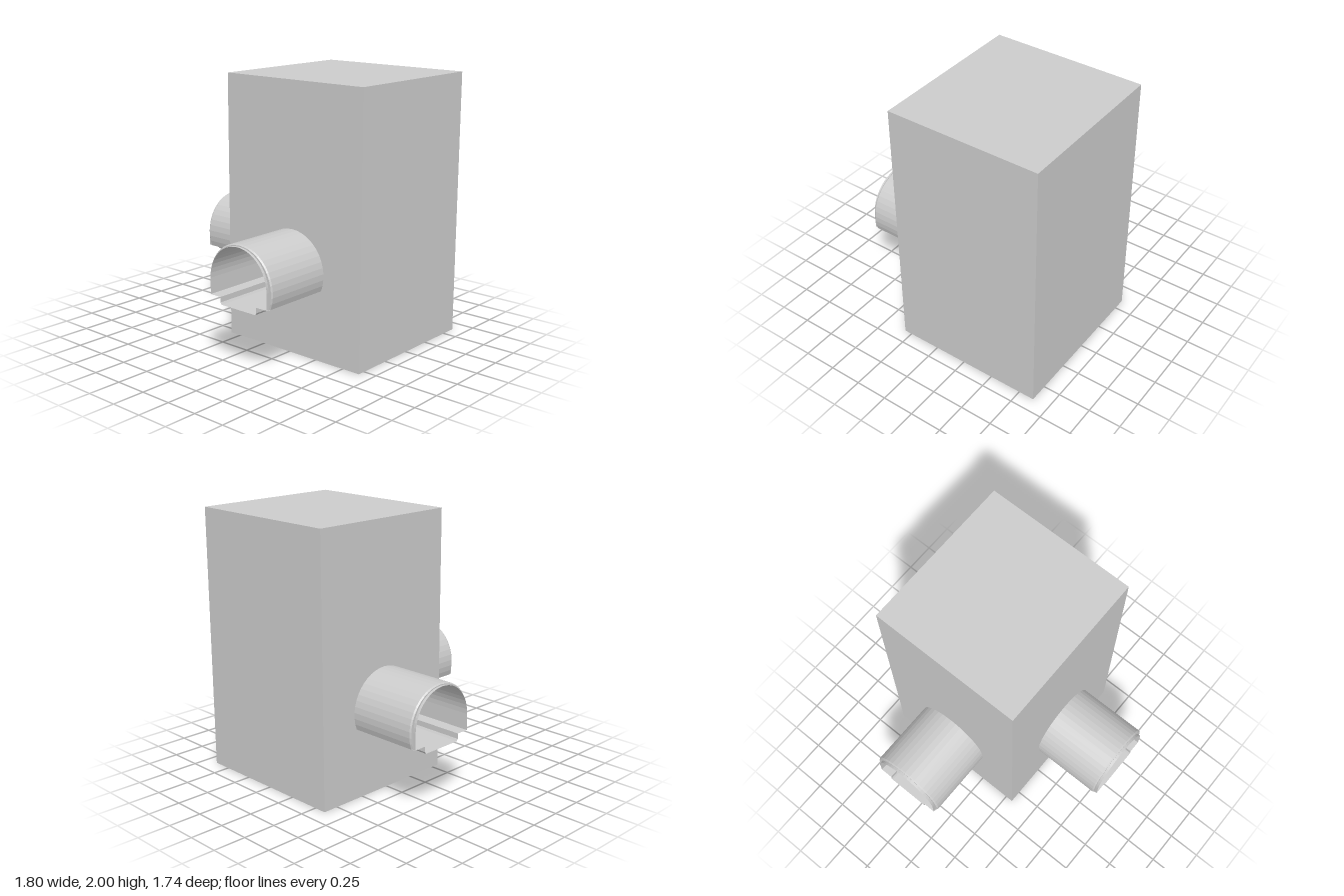
import * as THREE from 'three';

const HALF_W = 0.62, HALF_D = 0.59, HEIGHT = 2;
const LEDGE_Y = 0.53, CHANNEL_Y = 0.475, AXIS_Y = 0.64, SEGMENTS = 26;

const material = new THREE.MeshStandardMaterial({
  color: 0xcccccc, flatShading: true, side: THREE.DoubleSide,
});

// Circular arch that stops at the ledge height
function outerArch(radius) {
  const start = Math.asin((LEDGE_Y - AXIS_Y) / radius);
  const points = [];
  for (let i = 0; i <= SEGMENTS; i++) {
    const a = start + (Math.PI - 2 * start) * i / SEGMENTS;
    points.push([radius * Math.cos(a), AXIS_Y + radius * Math.sin(a)]);
  }
  return points;
}

// Inner arch with straight legs below the springing line
function innerArch() {
  const points = [[0.265, LEDGE_Y]];
  const n = SEGMENTS - 2;
  for (let i = 0; i <= n; i++) {
    const a = Math.PI * i / n;
    points.push([0.265 * Math.cos(a), AXIS_Y + 0.01 + 0.27 * Math.sin(a)]);
  }
  points.push([-0.265, LEDGE_Y]);
  return points;
}

// Stepped floor profile, from one edge to the other
const floorHalf = [[-0.17, LEDGE_Y], [-0.17, 0.49], [-0.16, CHANNEL_Y]];
const floorSteps = [...floorHalf, ...floorHalf.map(([x, y]) => [-x, y]).reverse()];

// Joins open cross-sections { points, z } into a surface
function loft(sections) {
  const positions = [], index = [], n = sections[0].points.length;
  sections.forEach(({ points, z }, r) => {
    points.forEach(([x, y], i) => {
      positions.push(x, y, z);
      if (r === sections.length - 1 || i === n - 1) return;
      const a = r * n + i, c = a + n;
      index.push(a, a + 1, c, a + 1, c + 1, c);
    });
  });
  const geometry = new THREE.BufferGeometry();
  geometry.setAttribute('position', new THREE.Float32BufferAttribute(positions, 3));
  geometry.setIndex(index);
  const flat = geometry.toNonIndexed();
  flat.computeVertexNormals();
  return flat;
}

function addMesh(parent, name, geometry) {
  const mesh = new THREE.Mesh(geometry, material);
  mesh.name = name;
  parent.add(mesh);
  return mesh;
}

// Tunnel running along +z from the wall at z = 0
function createTunnel(name) {
  const tunnel = new THREE.Group();
  tunnel.name = name;
  const inner = innerArch();
  addMesh(tunnel, 'archShell', loft([
    { points: outerArch(0.295), z: 0 },
    { points: outerArch(0.295), z: 0.525 },
    { points: outerArch(0.287), z: 0.535 },
    { points: inner, z: 0.535 },
    { points: inner, z: 0.555 },
    { points: inner, z: 0 },
  ]));
  const floor = [[-0.272, LEDGE_Y], ...floorSteps, [0.272, LEDGE_Y]];
  addMesh(tunnel, 'steppedFloor', loft([
    { points: floor, z: 0 },
    { points: floor.map(([x, y]) => [THREE.MathUtils.clamp(x, -0.272, 0.272), y]), z: 0.535 },
    { points: floor.map(([x, y]) => [THREE.MathUtils.clamp(x, -0.265, 0.265), y]), z: 0.555 },
  ]));
  return tunnel;
}

// Wall facing +z, optionally pierced by the tunnel opening
function createWall(halfWidth, pierced) {
  const wall = new THREE.Shape([
    new THREE.Vector2(-halfWidth, 0), new THREE.Vector2(halfWidth, 0),
    new THREE.Vector2(halfWidth, HEIGHT), new THREE.Vector2(-halfWidth, HEIGHT),
  ]);
  if (pierced) {
    const outline = [...innerArch(), ...floorSteps].map(([x, y]) => new THREE.Vector2(x, y));
    wall.holes.push(new THREE.Path(outline));
  }
  return new THREE.ShapeGeometry(wall);
}

export function createModel() {
  const model = new THREE.Group();
  model.name = 'towerWithTunnels';

  // Hollow tower, open underneath
  const tower = new THREE.Group();
  tower.name = 'tower';
  model.add(tower);
  const sides = [
    ['frontWall', HALF_W, HALF_D, 0, 'frontTunnel'],
    ['leftWall', HALF_D, HALF_W, Math.PI / 2, null],
    ['backWall', HALF_W, HALF_D, Math.PI, null],
    ['rightWall', HALF_D, HALF_W, -Math.PI / 2, 'rightTunnel'],
  ];
  for (const [name, halfWidth, distance, turn, tunnelName] of sides) {
    const side = new THREE.Group();
    side.name = name + 'Side';
    side.rotation.y = turn;
    addMesh(side, name, createWall(halfWidth, tunnelName !== null)).position.z = distance;
    if (tunnelName) {
      const tunnel = createTunnel(tunnelName);
      tunnel.position.z = distance;
      side.add(tunnel);
    }
    tower.add(side);
  }

  // Flat roof
  const roof = addMesh(tower, 'roof', new THREE.PlaneGeometry(2 * HALF_W, 2 * HALF_D));
  roof.rotation.x = -Math.PI / 2;
  roof.position.y = HEIGHT;

  tower.position.set(0.275, 0, -0.28);
  return model;
}
